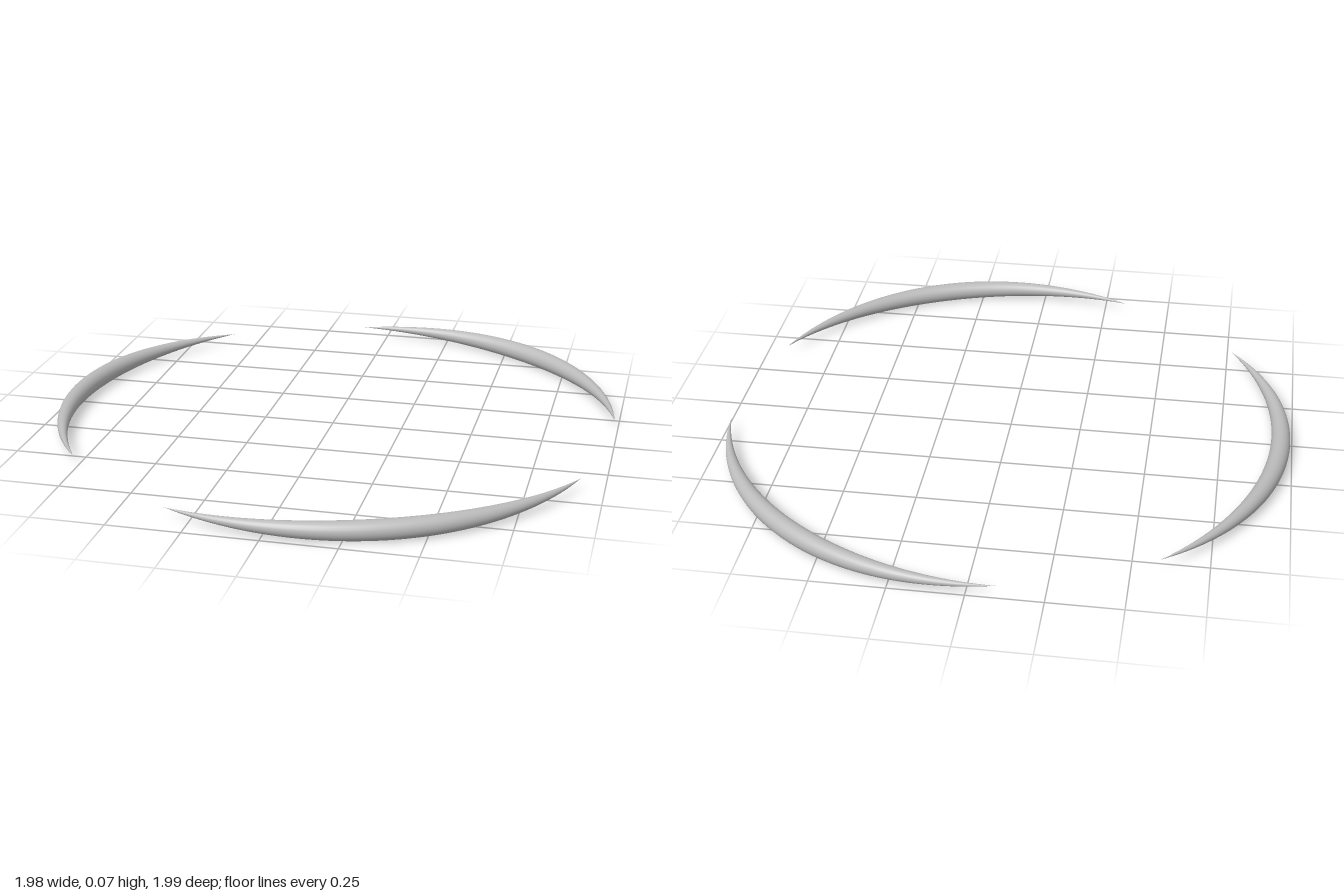
import * as THREE from 'three';

const RADIUS = 0.979;   // centreline of the broken ring
const TUBE = 0.034;     // half thickness at the middle of each arc
const ARC = THREE.MathUtils.degToRad(88.3);

// Torus arc whose thickness swells from a point to the middle and back
function crescentGeometry() {
  const geo = new THREE.TorusGeometry(RADIUS, TUBE, 24, 72, ARC);
  const pos = geo.attributes.position;
  for (let i = 0; i < pos.count; i++) {
    const x = pos.getX(i), y = pos.getY(i), z = pos.getZ(i);
    const angle = Math.atan2(y, x);
    const swell = Math.max(0, Math.sin(Math.PI * angle / ARC));
    const r = RADIUS + (Math.hypot(x, y) - RADIUS) * swell;
    pos.setXYZ(i, r * Math.cos(angle), r * Math.sin(angle), z * swell);
  }
  geo.rotateX(Math.PI / 2);
  return geo;
}

export function createModel() {
  const group = new THREE.Group();
  group.name = 'brokenRing';
  const grey = new THREE.MeshStandardMaterial({ color: 0xbbbbbb });
  grey.name = 'grey';

  // Three crescents, a third of a turn apart
  const geo = crescentGeometry();
  ['frontCrescent', 'rightCrescent', 'backCrescent'].forEach((name, i) => {
    const crescent = new THREE.Mesh(geo, grey);
    crescent.name = name;
    crescent.rotation.y = -THREE.MathUtils.degToRad(23.1 + 120 * i);
    crescent.position.set(0.02, TUBE, -0.01);
    group.add(crescent);
  });
  return group;
}
